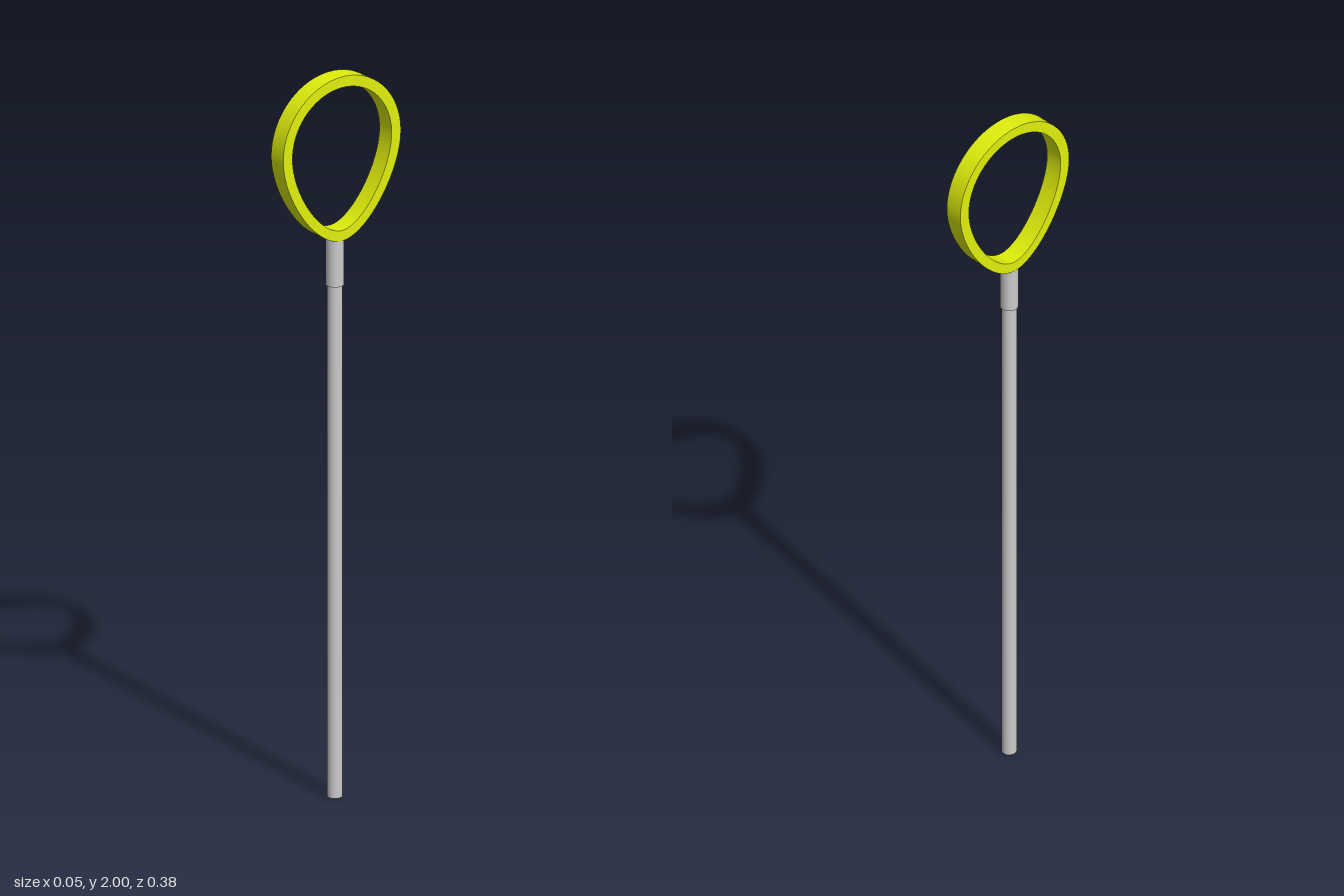
import * as THREE from 'three';
import { toCreasedNormals } from 'three/addons/utils/BufferGeometryUtils.js';

const CENTRE_Y = 1.808;

// Egg outline: a half circle on top, tapering to a rounded lower end
function egg(path, radius, bottom, shoulder, foot) {
  path.moveTo(radius, CENTRE_Y);
  path.absarc(0, CENTRE_Y, radius, 0, Math.PI, false);
  path.bezierCurveTo(-radius, shoulder, -foot, bottom, 0, bottom);
  path.bezierCurveTo(foot, bottom, radius, shoulder, radius, CENTRE_Y);
  return path;
}

export function createModel() {
  const model = new THREE.Group();
  const grey = new THREE.MeshStandardMaterial({ color: 0xcccccc });
  const yellow = new THREE.MeshStandardMaterial({ color: 0xe0f00c });

  const add = (name, geometry, material) => {
    const mesh = new THREE.Mesh(geometry, material);
    mesh.name = name;
    model.add(mesh);
    return mesh;
  };

  // Upright rod from yBottom to yTop
  const rod = (name, radius, yBottom, yTop) => {
    const geometry = new THREE.CylinderGeometry(radius, radius, yTop - yBottom, 24);
    add(name, geometry, grey).position.set(0, (yBottom + yTop) / 2, 0.004);
  };
  rod('shaft', 0.02, 0, 1.43);
  rod('collar', 0.024, 1.418, 1.555);

  // Flat band bent into an egg-shaped loop, facing sideways
  const width = 0.052;
  const outline = egg(new THREE.Shape(), 0.192, 1.545, 1.70, 0.085);
  outline.holes.push(egg(new THREE.Path(), 0.162, 1.574, 1.71, 0.07));
  const band = new THREE.ExtrudeGeometry(outline, { depth: width, bevelEnabled: false, curveSegments: 24 });
  band.translate(0, 0, -width / 2).rotateY(Math.PI / 2);
  add('loop', toCreasedNormals(band, Math.PI / 5), yellow);

  return model;
}
